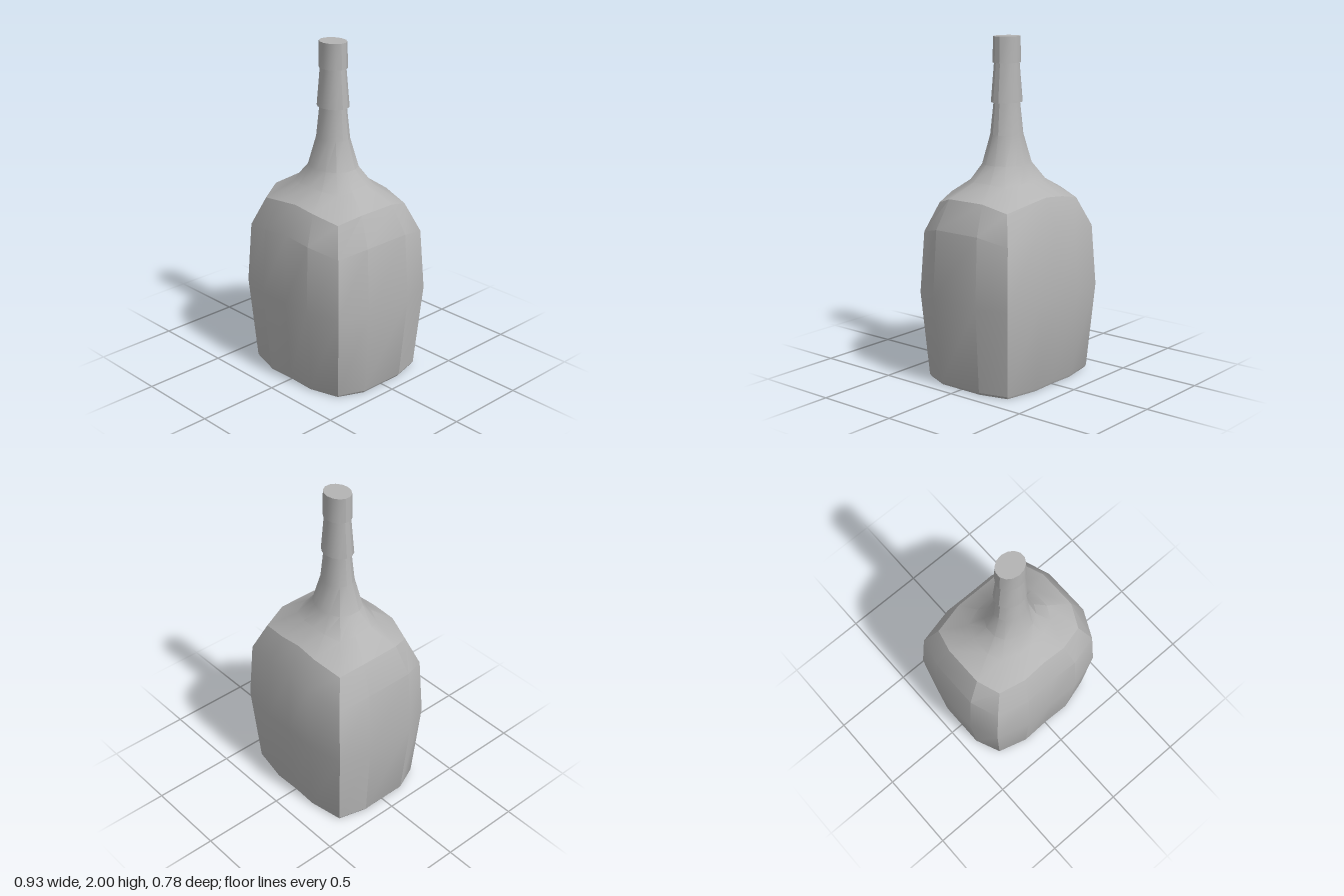
import * as THREE from 'three';
import { toCreasedNormals } from 'three/addons/utils/BufferGeometryUtils.js';

// Squarish body outline (right half, back to front) as fractions of half width and half depth
const HALF = [[0, -0.985], [0.39, -1], [0.89, -0.89], [1, -0.4], [1, 0.42], [0.84, 0.85], [0.41, 1], [0, 0.985]];
const DROP = [0, 0.25, 1, 0.15, 0.15, 1, 0.25, 0]; // how far each column sinks at the shoulder
const COLS = 14;

// One ring: height, half width, half depth, squareness (1 = body outline, 0 = ellipse), corner drop
function ringPoints([y, w, d, square, drop = 0]) {
  const points = [];
  for (let j = 0; j < COLS; j++) {
    const k = j <= 7 ? j : COLS - j;
    const side = j <= 7 ? 1 : -1;
    const a = (k / 7) * Math.PI;
    const x = THREE.MathUtils.lerp(Math.sin(a), HALF[k][0], square);
    const z = THREE.MathUtils.lerp(-Math.cos(a), HALF[k][1], square);
    points.push(new THREE.Vector3(side * x * w, y - DROP[k] * drop, z * d));
  }
  return points;
}

// Skins a stack of rings and closes both ends
function loft(rings, crease) {
  const loops = rings.map(ringPoints);
  const pos = [];
  const tri = (...v) => v.forEach((p) => pos.push(p.x, p.y, p.z));
  const last = loops.length - 1;
  const bottom = new THREE.Vector3(0, rings[0][0], 0);
  const top = new THREE.Vector3(0, rings[last][0], 0);
  for (let j = 0; j < COLS; j++) {
    const n = (j + 1) % COLS;
    for (let i = 0; i < last; i++) {
      const a = loops[i][j], b = loops[i][n], c = loops[i + 1][j], d = loops[i + 1][n];
      tri(a, c, b);
      tri(b, c, d);
    }
    tri(bottom, loops[0][j], loops[0][n]);
    tri(top, loops[last][n], loops[last][j]);
  }
  const geometry = new THREE.BufferGeometry();
  geometry.setAttribute('position', new THREE.Float32BufferAttribute(pos, 3));
  return toCreasedNormals(geometry, crease);
}

export function createModel() {
  const group = new THREE.Group();
  const grey = new THREE.MeshStandardMaterial({ color: 0xb4b4b4 });
  grey.name = 'grey';

  const add = (name, rings, crease = 0.5) => {
    const mesh = new THREE.Mesh(loft(rings, crease), grey);
    mesh.name = name;
    group.add(mesh);
  };

  // Squared body flowing through the shoulder into the round neck
  add('bottleBody', [
    [0, 0.41, 0.345, 1],
    [0.015, 0.42, 0.352, 1],
    [0.52, 0.465, 0.39, 1],
    [0.93, 0.44, 0.37, 1, 0.05],
    [1.1, 0.36, 0.298, 1, 0.05],
    [1.18, 0.225, 0.185, 0.6, 0.02],
    [1.27, 0.15, 0.13, 0.2],
    [1.44, 0.105, 0.09, 0],
    [1.64, 0.085, 0.068, 0],
  ]);

  // Tapered sleeve around the neck
  add('neckSleeve', [
    [1.625, 0.102, 0.085, 0],
    [1.855, 0.081, 0.068, 0],
  ]);

  // Stopper cap
  add('cap', [
    [1.85, 0.09, 0.076, 0],
    [2, 0.087, 0.073, 0],
  ]);

  return group;
}
